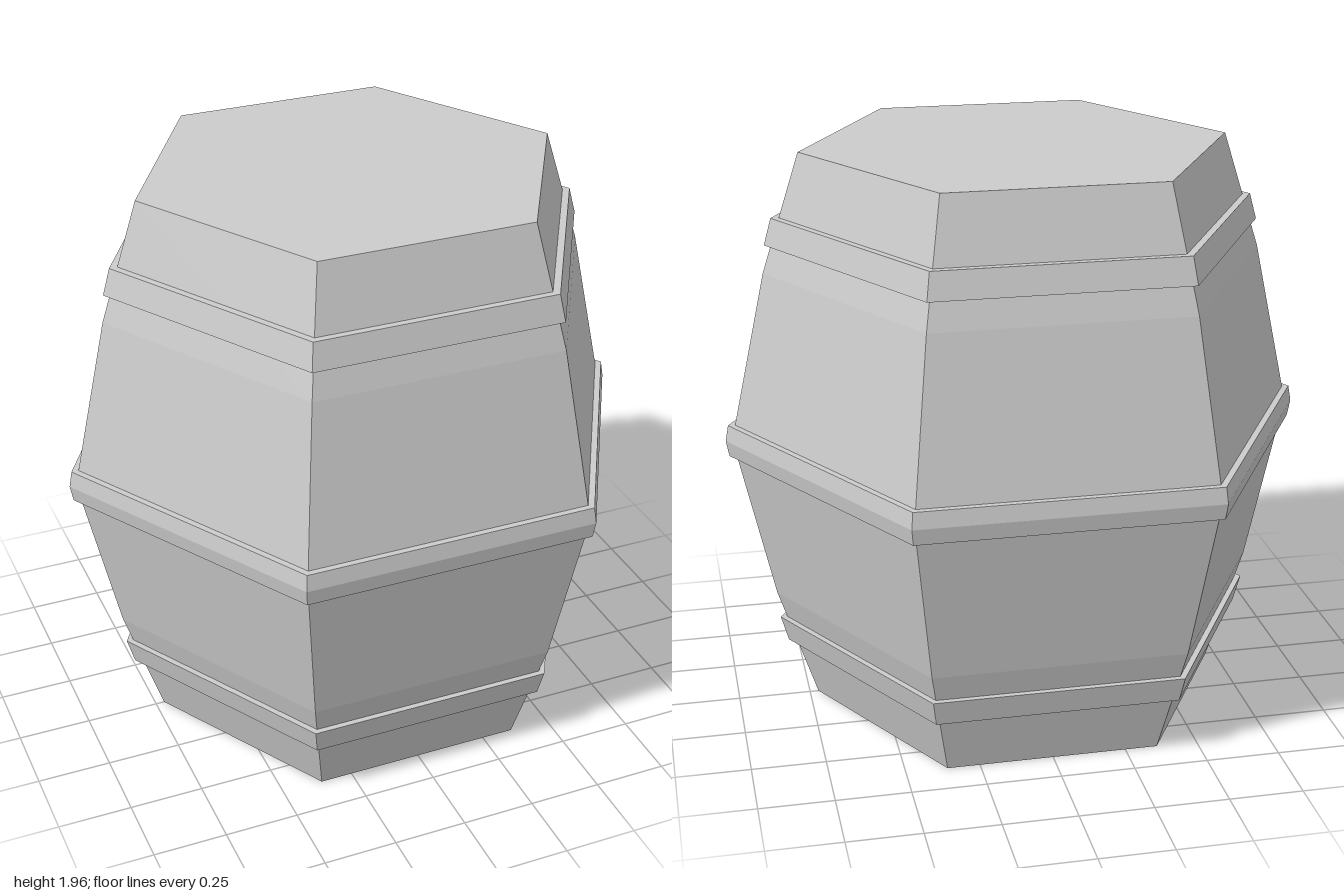
import * as THREE from 'three';

const SIDES = 6;
const MID = 0.98; // half the barrel height

// Six-sided lathe with a corner on the x axis; profile runs bottom to top as [radius, y]
function hexLathe(name, profile, material) {
  const points = profile.map(([r, y]) => new THREE.Vector2(r, y));
  const mesh = new THREE.Mesh(new THREE.LatheGeometry(points, SIDES, Math.PI / 2), material);
  mesh.name = name;
  return mesh;
}

// Flip a profile about mid height, keeping the bottom-to-top order
const mirror = (profile) => profile.map(([r, y]) => [r, 2 * MID - y]).reverse();

export function createModel() {
  const group = new THREE.Group();
  group.name = 'barrel';
  const material = new THREE.MeshStandardMaterial({ color: 0xcccccc, flatShading: true });

  // Bulging body with flat closed ends
  const lower = [[0, 0], [0.72, 0], [0.85, 0.4]];
  group.add(hexLathe('body', [...lower, [0.978, MID], ...mirror(lower)], material));

  // Hoops, with inner edges sunk into the body
  const endHoop = [[0.74, 0.215], [0.817, 0.215], [0.842, 0.305], [0.77, 0.305]];
  group.add(hexLathe('lowerHoop', endHoop, material));
  group.add(hexLathe('upperHoop', mirror(endHoop), material));

  const halfHoop = [[0.92, 0.925], [0.99, 0.925]];
  group.add(hexLathe('middleHoop', [...halfHoop, [1, MID], ...mirror(halfHoop)], material));

  return group;
}
